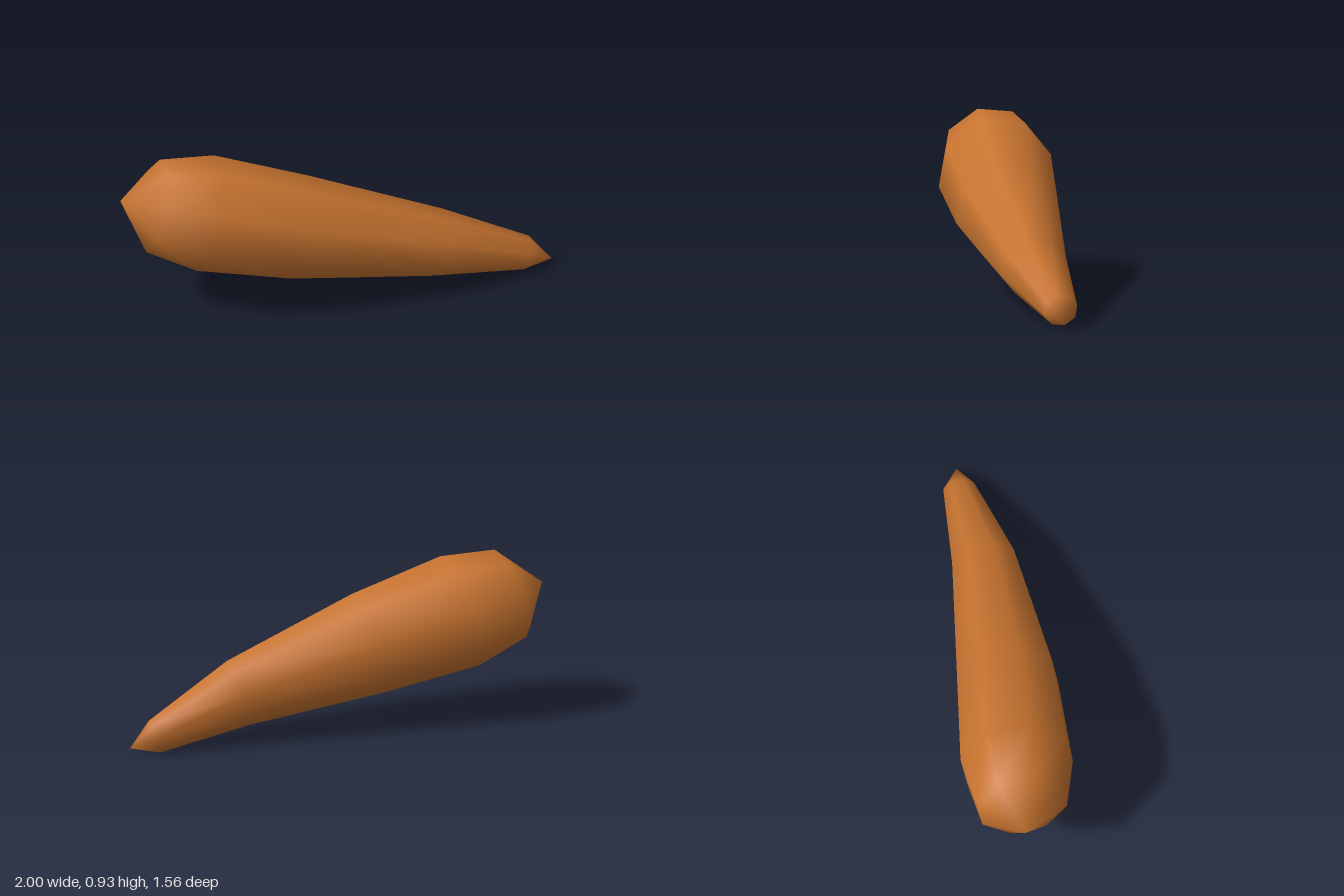
import * as THREE from 'three';

const SIDES = 8;
const PHASE = -0.28;

// Ring centres and radii from the thin tip to the blunt crown
const RINGS = [
  [0.872, 0.1, -0.708, 0.096],
  [0.485, 0.28, -0.352, 0.192],
  [-0.147, 0.485, 0.11, 0.294],
  [-0.595, 0.625, 0.395, 0.328],
  [-0.844, 0.7, 0.555, 0.263],
];
const TIP = [0.993, 0.045, -0.79];
const CROWN = [-1, 0.75, 0.655];

// Slightly bent tapering body: parallel octagonal rings, closed by a point at each end
function bodyGeometry() {
  const axis = new THREE.Vector3(-0.777, 0.271, 0.568).normalize();
  const across = new THREE.Vector3(0, 1, 0).cross(axis).normalize();
  const up = axis.clone().cross(across);

  const positions = [];
  for (const [x, y, z, radius] of RINGS) {
    for (let i = 0; i < SIDES; i++) {
      const angle = PHASE + (i / SIDES) * Math.PI * 2;
      const p = new THREE.Vector3(x, y, z)
        .addScaledVector(across, radius * Math.cos(angle))
        .addScaledVector(up, radius * Math.sin(angle));
      positions.push(p.x, p.y, p.z);
    }
  }
  const tip = RINGS.length * SIDES;
  const crown = tip + 1;
  positions.push(...TIP, ...CROWN);

  const index = [];
  const last = (RINGS.length - 1) * SIDES;
  for (let i = 0; i < SIDES; i++) {
    const next = (i + 1) % SIDES;
    for (let row = 0; row < last; row += SIDES) {
      const a = row + i, b = row + next;
      index.push(a, b, b + SIDES, a, b + SIDES, a + SIDES);
    }
    index.push(tip, next, i);
    index.push(crown, last + i, last + next);
  }

  const geometry = new THREE.BufferGeometry();
  geometry.setAttribute('position', new THREE.Float32BufferAttribute(positions, 3));
  geometry.setIndex(index);
  geometry.computeVertexNormals();
  return geometry;
}

export function createModel() {
  const orange = new THREE.MeshStandardMaterial({ color: 0xc87430 });
  orange.name = 'carrot orange';

  const body = new THREE.Mesh(bodyGeometry(), orange);
  body.name = 'carrotRoot';

  const group = new THREE.Group();
  group.name = 'carrot';
  group.add(body);
  return group;
}
